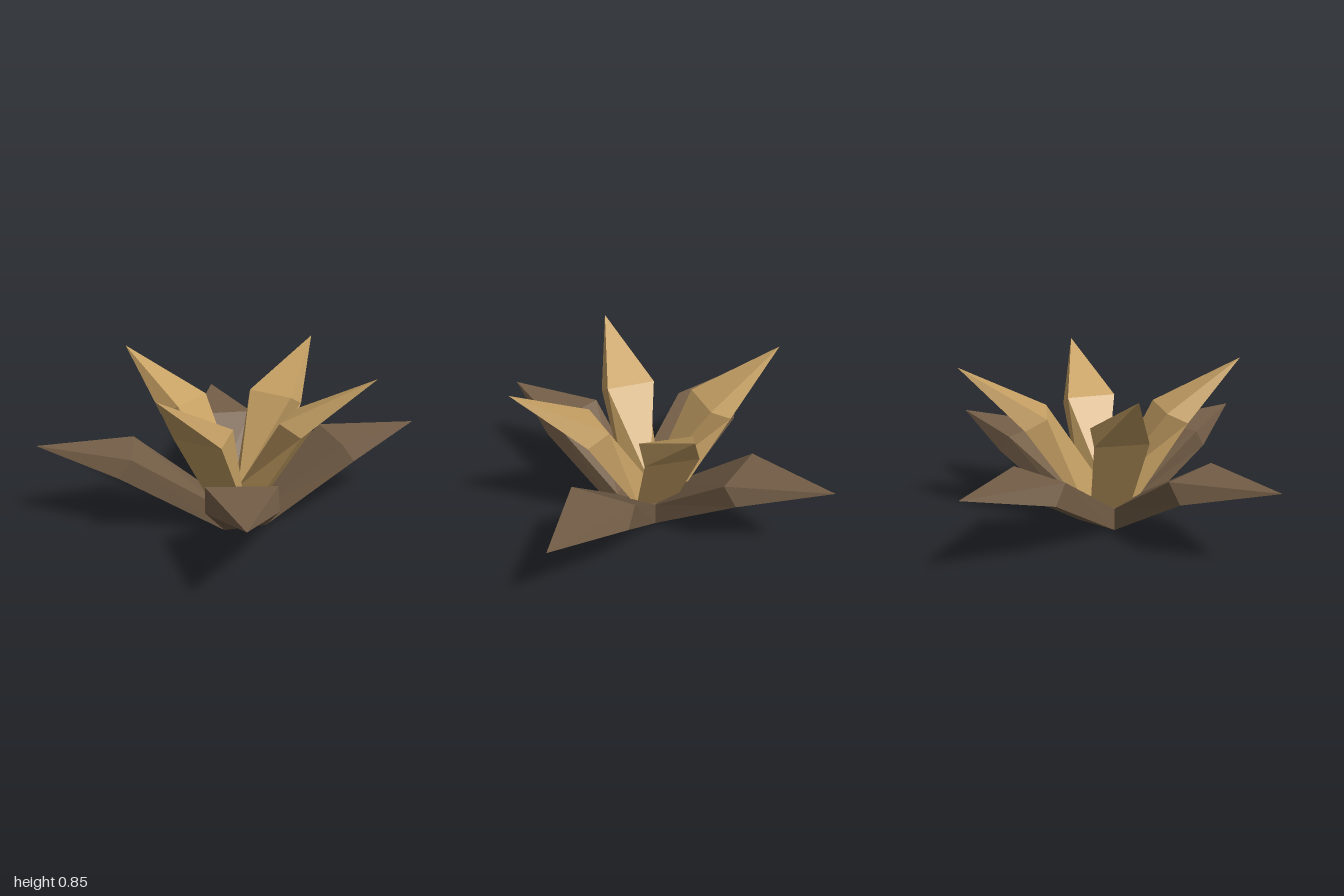
import * as THREE from 'three';

const outerMat = new THREE.MeshStandardMaterial({ color: 0x755f48 });
outerMat.name = 'brown';
const innerMat = new THREE.MeshStandardMaterial({ color: 0xc8a265 });
innerMat.name = 'tan';

const BOX = { x: 0.005, z: 0.026, half: 0.112, h: 0.12 };

// Point at a distance along a heading, shifted sideways; heading 0 faces +z.
function polar(deg, side, y, r, cx = 0, cz = 0) {
  const a = THREE.MathUtils.degToRad(deg), s = Math.sin(a), c = Math.cos(a);
  return [cx + side * c + r * s, y, cz - side * s + r * c];
}

// Four corners: lower left, lower right, upper right, upper left.
function section(deg, lower, upper, cx, cz) {
  const corner = (sign, p) => polar(deg, sign * p.w, p.y, p.r, cx, cz);
  return [corner(-1, lower), corner(1, lower), corner(1, upper), corner(-1, upper)];
}

// Faceted petal: base section, middle section, pointed tip.
function petal(name, base, mid, tip, material) {
  const pos = [];
  const tri = (...pts) => pts.forEach((p) => pos.push(...p));
  for (let i = 0; i < 4; i++) {
    const j = (i + 1) % 4;
    tri(base[i], base[j], mid[j]);
    tri(base[i], mid[j], mid[i]);
    tri(mid[i], mid[j], tip);
  }
  tri(base[0], base[2], base[1]);
  tri(base[0], base[3], base[2]);
  const geo = new THREE.BufferGeometry();
  geo.setAttribute('position', new THREE.Float32BufferAttribute(pos, 3));
  geo.computeVertexNormals();
  const mesh = new THREE.Mesh(geo, material);
  mesh.name = name;
  return mesh;
}

export function createModel() {
  const group = new THREE.Group();
  group.name = 'flower';

  // Square core
  const core = new THREE.Mesh(new THREE.BoxGeometry(BOX.half * 2, BOX.h, BOX.half * 2), outerMat);
  core.position.set(BOX.x, BOX.h / 2, BOX.z);
  core.name = 'core';
  group.add(core);

  // Low outer petals: [name, core side, heading, length]
  const outer = [
    ['frontOuterPetal', 0, -13.3, 0.997],
    ['leftOuterPetal', 90, 90, 0.99],
    ['backOuterPetal', 180, 174.7, 0.974],
    ['rightOuterPetal', 270, 260.8, 1.013],
  ];
  for (const [name, side, heading, len] of outer) {
    const root = { w: BOX.half, r: BOX.half };
    const base = section(side, { ...root, y: 0 }, { ...root, y: BOX.h }, BOX.x, BOX.z);
    const mid = section(heading,
      { w: 0.165, y: 0.32, r: len - 0.41 },
      { w: 0.165, y: 0.415, r: len - 0.477 });
    group.add(petal(name, base, mid, polar(heading, 0, 0.445, len), outerMat));
  }

  // Upright inner petals: [name, heading, length]
  const inner = [
    ['frontLeftInnerPetal', 50.5, 0.7],
    ['backLeftInnerPetal', 129.4, 0.725],
    ['backRightInnerPetal', 224.4, 0.7],
    ['frontRightInnerPetal', -43.9, 0.707],
  ];
  for (const [name, heading, len] of inner) {
    const base = section(heading, { w: 0.1, y: 0.08, r: 0.1 }, { w: 0.004, y: 0.18, r: 0.004 }, 0.005, 0);
    const mid = section(heading,
      { w: 0.13, y: 0.55, r: len - 0.315 },
      { w: 0.13, y: 0.607, r: len - 0.425 });
    group.add(petal(name, base, mid, polar(heading, 0, 0.845, len), innerMat));
  }
  return group;
}
